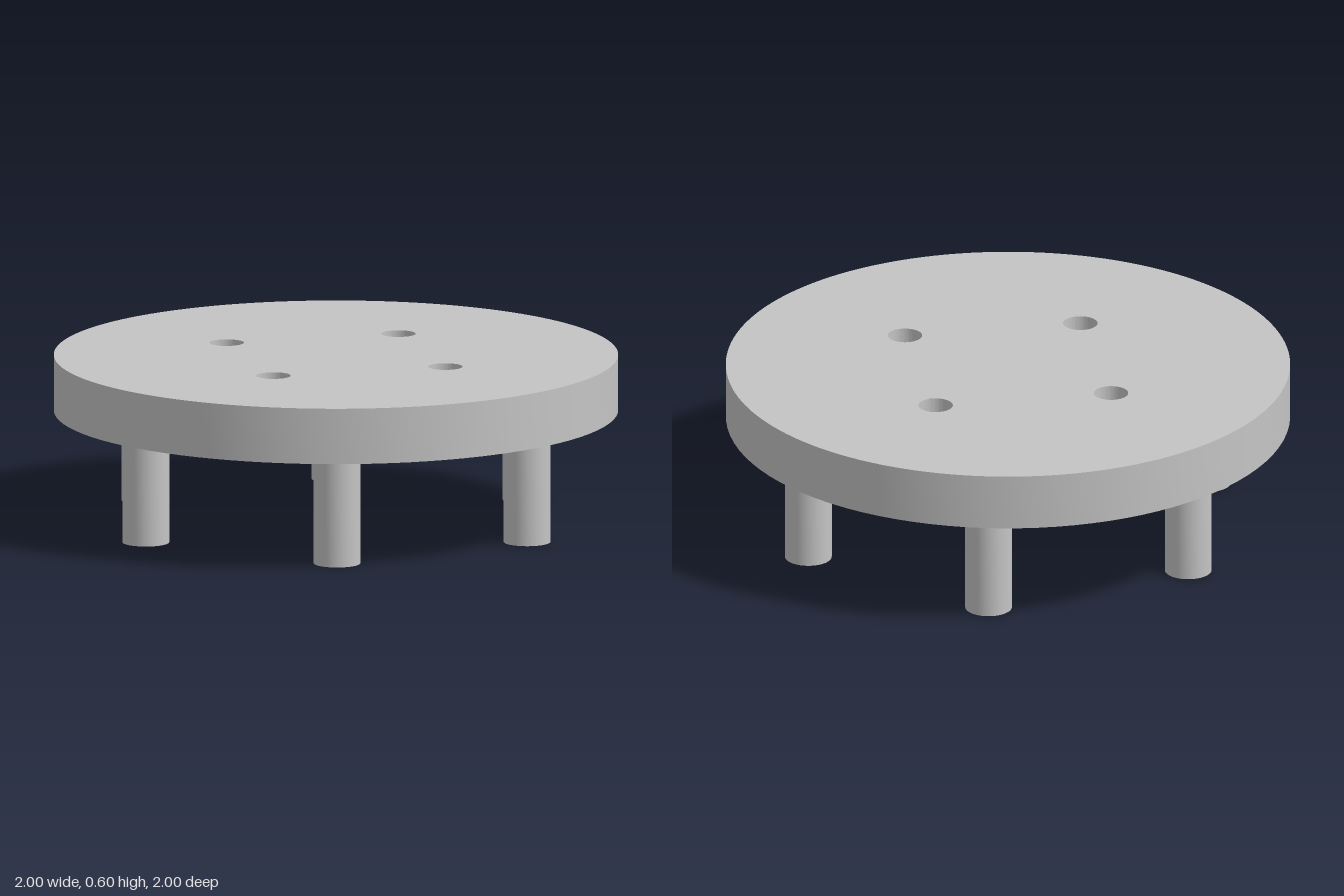
import * as THREE from 'three';
import { toCreasedNormals } from 'three/addons/utils/BufferGeometryUtils.js';

const SEGMENTS = 96;
const PLATE_BOTTOM = 0.4, PLATE_TOP = 0.6;
const HOLE_RADIUS = 0.061, HOLE_RING = 0.446, HOLE_DEPTH = 0.1;
const LEG_RADIUS = 0.083, BORE_RADIUS = 0.052, LEG_RING = 0.78;

export function createModel() {
  const grey = new THREE.MeshStandardMaterial({ color: 0xc4c4c4 });
  grey.name = 'grey';
  const model = new THREE.Group();
  model.name = 'roundStand';

  const add = (name, geometry, x = 0, y = 0, z = 0) => {
    const mesh = new THREE.Mesh(geometry, grey);
    mesh.name = name;
    mesh.position.set(x, y, z);
    model.add(mesh);
  };
  // Turned surface with crisp rims
  const turned = (points, segments = SEGMENTS) => toCreasedNormals(
    new THREE.LatheGeometry(points.map(([r, y]) => new THREE.Vector2(r, y)), segments), 0.6);

  // Round plate: rim and underside
  add('plateRim', turned([[0, PLATE_BOTTOM], [1, PLATE_BOTTOM], [1, PLATE_TOP]]));

  // Plate top, pierced by four blind holes
  const top = new THREE.Shape().absarc(0, 0, 1, 0, Math.PI * 2);
  const cup = turned([[HOLE_RADIUS, 0], [HOLE_RADIUS, -HOLE_DEPTH], [0, -HOLE_DEPTH]]);
  for (let i = 0; i < 4; i++) {
    const a = i * Math.PI / 2;
    const x = HOLE_RING * Math.cos(a), z = HOLE_RING * Math.sin(a);
    top.holes.push(new THREE.Path().absarc(x, -z, HOLE_RADIUS, 0, Math.PI * 2, true));
    add('screwHole', cup, x, PLATE_TOP, z);
  }
  add('plateTop', new THREE.ShapeGeometry(top, SEGMENTS).rotateX(-Math.PI / 2), 0, PLATE_TOP, 0);

  // Six hollow legs in a ring
  const leg = turned([
    [BORE_RADIUS, PLATE_BOTTOM], [BORE_RADIUS, 0],
    [LEG_RADIUS, 0], [LEG_RADIUS, PLATE_BOTTOM],
  ], 48);
  for (let i = 0; i < 6; i++) {
    const a = i * Math.PI / 3;
    add('leg', leg, LEG_RING * Math.cos(a), 0, LEG_RING * Math.sin(a));
  }
  return model;
}
